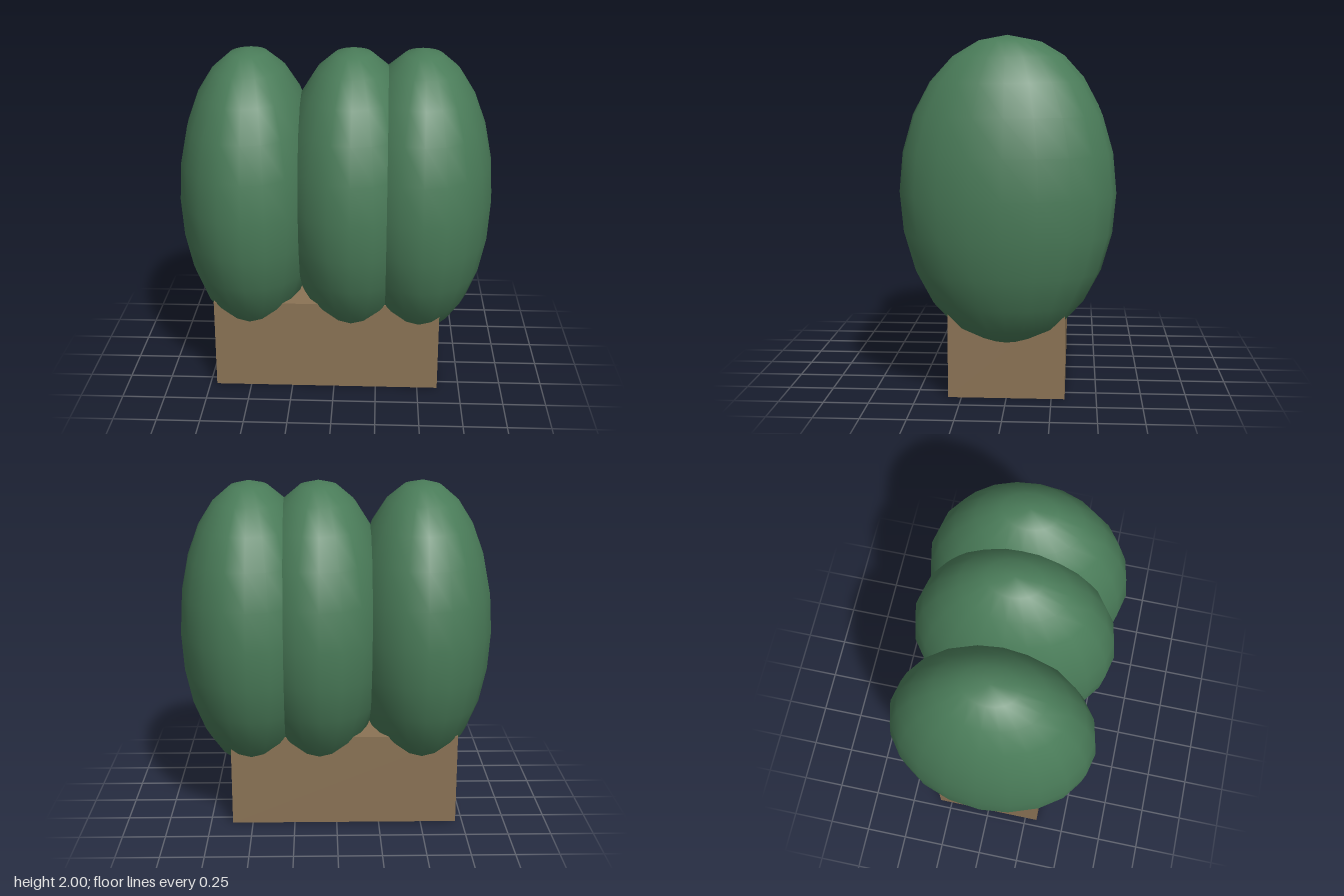
import * as THREE from 'three';

export function createModel() {
  const group = new THREE.Group();
  const leafGreen = new THREE.MeshStandardMaterial({ color: 0x4a7c59 });
  leafGreen.name = 'leafGreen';
  const woodBrown = new THREE.MeshStandardMaterial({ color: 0x8b7355 });
  woodBrown.name = 'woodBrown';

  // Planter block, slightly off-centre under the foliage
  const planter = new THREE.Mesh(new THREE.BoxGeometry(1.33, 0.545, 0.65), woodBrown);
  planter.name = 'planter';
  planter.position.set(-0.045, 0.2725, 0);
  group.add(planter);

  // Three overlapping egg-shaped bushes
  const bushGeometry = new THREE.SphereGeometry(1, 20, 12).scale(0.42, 0.86, 0.6);
  const bushes = { rightBush: -0.5, middleBush: 0.1, leftBush: 0.5 };
  for (const [name, x] of Object.entries(bushes)) {
    const bush = new THREE.Mesh(bushGeometry, leafGreen);
    bush.name = name;
    bush.position.set(x, 1.14, 0);
    group.add(bush);
  }
  return group;
}
